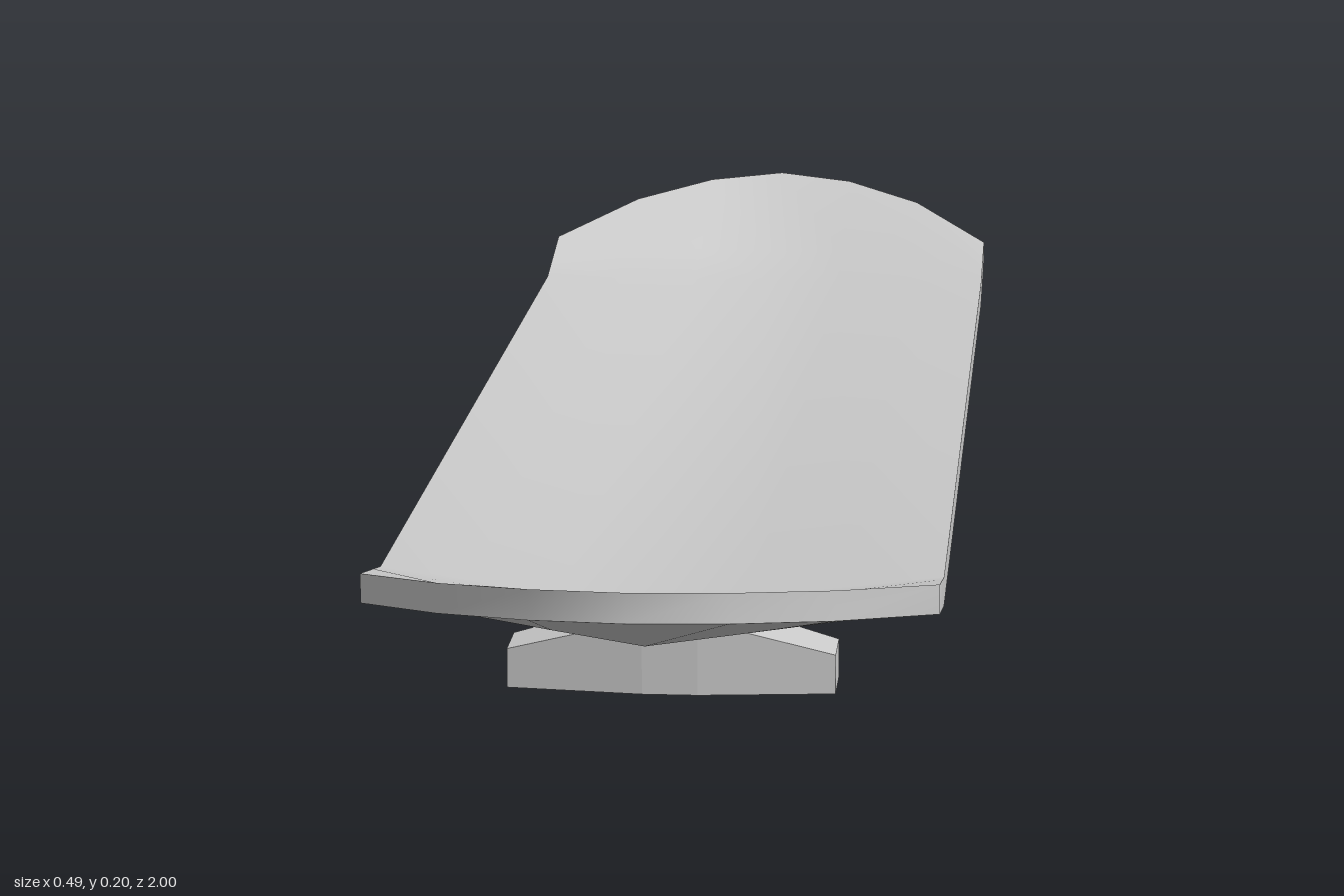
import * as THREE from 'three';
import { toCreasedNormals } from 'three/addons/utils/BufferGeometryUtils.js';

const material = new THREE.MeshStandardMaterial({ color: 0xcccccc });

// Non-indexed geometry from quads, corners counter-clockwise seen from outside
function fromQuads(quads) {
  const pos = [];
  for (const [a, b, c, d] of quads) pos.push(...a, ...b, ...c, ...a, ...c, ...d);
  const g = new THREE.BufferGeometry();
  g.setAttribute('position', new THREE.Float32BufferAttribute(pos, 3));
  return g;
}

// Lofts closed loops of equal length, with flat caps on four-sided or longer loops
function loft(loops) {
  const quads = [];
  const n = loops[0].length;
  for (let i = 0; i + 1 < loops.length; i++)
    for (let j = 0; j < n; j++) {
      const k = (j + 1) % n;
      quads.push([loops[i][j], loops[i][k], loops[i + 1][k], loops[i + 1][j]]);
    }
  const end = loops[loops.length - 1];
  quads.push([...loops[0]].reverse(), end);
  const g = fromQuads(quads);
  g.computeVertexNormals();
  return g;
}

// Deck: lengthwise columns, dished across the width and kicked up at both ends
function deckGeometry() {
  const half = [[0, 1], [0.082, 0.975], [0.165, 0.91], [0.247, 0.79]];
  const columns = [...half.slice(1).reverse().map(([x, z]) => [-x, z]), ...half];
  const thickness = 0.026;
  const bottom = columns.map(([x, zEnd]) => {
    const t = Math.abs(x) / 0.247;
    const y0 = 0.095 + 0.014 * t;
    const zFlat = 0.67 + 0.07 * (1 - t);
    const yEnd = 0.109 + 0.202 * (zEnd - 0.67);
    const zMid = zFlat + (zEnd - zFlat) * 0.35;
    const yMid = y0 + (yEnd - y0) * (0.2 + 0.15 * t);
    return [[x, yEnd, -zEnd], [x, yMid, -zMid], [x, y0, -zFlat],
      [x, y0, zFlat], [x, yMid, zMid], [x, yEnd, zEnd]];
  });
  const top = bottom.map(c => c.map(([x, y, z]) => [x, y + thickness, z]));
  const quads = [];
  const last = columns.length - 1;
  for (let i = 0; i < last; i++) {
    for (let j = 0; j < 5; j++) {
      quads.push([top[i][j], top[i][j + 1], top[i + 1][j + 1], top[i + 1][j]]);
      quads.push([bottom[i][j], bottom[i + 1][j], bottom[i + 1][j + 1], bottom[i][j + 1]]);
    }
    // End rims
    quads.push([bottom[i][5], bottom[i + 1][5], top[i + 1][5], top[i][5]]);
    quads.push([bottom[i + 1][0], bottom[i][0], top[i][0], top[i + 1][0]]);
  }
  for (let j = 0; j < 5; j++) {
    // Side rims
    quads.push([bottom[0][j], bottom[0][j + 1], top[0][j + 1], top[0][j]]);
    quads.push([bottom[last][j + 1], bottom[last][j], top[last][j], top[last][j + 1]]);
  }
  return toCreasedNormals(fromQuads(quads), 0.7);
}

// Truck: hanger wide at the middle, below a tapered mount that reaches towards the deck centre
function createTruck() {
  const truck = new THREE.Group();
  const section = ([x, h, w]) => [[x, 0, -w], [x, h, -w], [x, h, w], [x, 0, w]];
  const hanger = new THREE.Mesh(loft([
    [-0.148, 0.036, 0.028], [-0.025, 0.069, 0.042],
    [0.025, 0.069, 0.042], [0.148, 0.036, 0.028],
  ].map(section)), material);
  hanger.name = 'hanger';

  const rect = ([y, x, z0, z1]) => [[-x, y, z1], [x, y, z1], [x, y, z0], [-x, y, z0]];
  const mount = new THREE.Mesh(loft([
    [0.066, 0.025, -0.042, 0.042], [0.07, 0.025, -0.042, 0.042],
    [0.091, 0.058, -0.135, 0.055], [0.102, 0.058, -0.135, 0.055],
  ].map(rect)), material);
  mount.name = 'truckMount';
  truck.add(hanger, mount);
  return truck;
}

export function createModel() {
  const model = new THREE.Group();
  model.name = 'skateboard';
  const deck = new THREE.Mesh(deckGeometry(), material);
  deck.name = 'deck';
  model.add(deck);

  const frontTruck = createTruck();
  frontTruck.name = 'frontTruck';
  frontTruck.position.z = 0.545;
  const backTruck = createTruck();
  backTruck.name = 'backTruck';
  backTruck.position.z = -0.58;
  backTruck.rotation.y = Math.PI;
  model.add(frontTruck, backTruck);
  return model;
}
